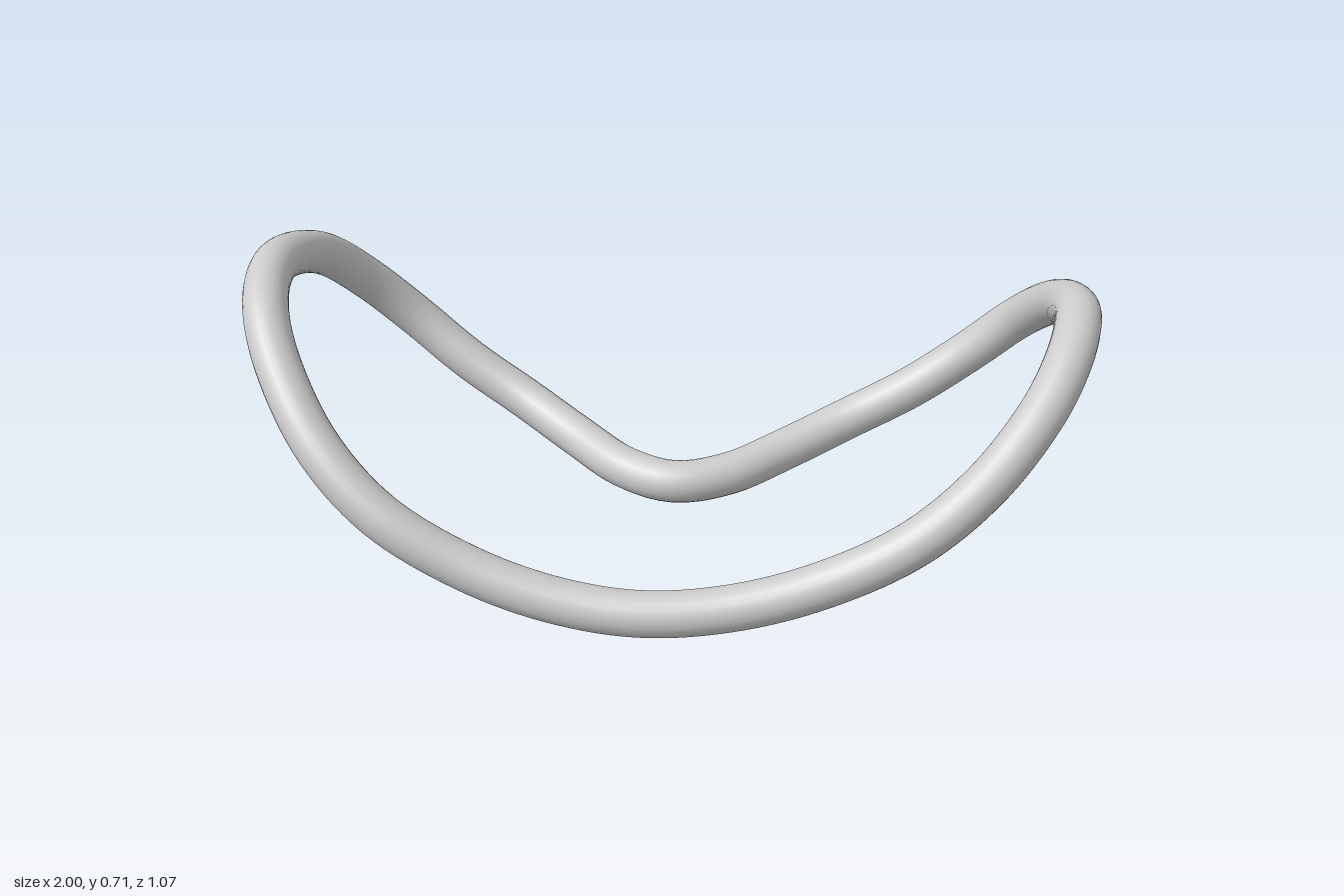
import * as THREE from 'three';

const RADIUS = 0.0535;
const BEND = 1.077; // radius of the sideways bend of the whole loop

// Outline seen from above as [x, z], each from the back dip round to the front
const leftHalf = [
  [0, -0.175], [0.13, -0.22], [0.27, -0.33], [0.42, -0.425], [0.58, -0.465], [0.72, -0.477],
  [0.83, -0.44], [0.9, -0.33], [0.938, -0.18], [0.946, -0.06], [0.922, 0.08], [0.865, 0.2],
  [0.75, 0.315], [0.6, 0.39], [0.4, 0.425], [0.2, 0.455], [0, 0.475],
];
const rightHalf = [
  [-0.2, 0.47], [-0.4, 0.455], [-0.6, 0.43], [-0.75, 0.355], [-0.87, 0.22], [-0.925, 0.1],
  [-0.946, -0.03], [-0.942, -0.15], [-0.905, -0.33], [-0.83, -0.44], [-0.72, -0.488],
  [-0.58, -0.47], [-0.42, -0.425], [-0.27, -0.33], [-0.13, -0.22],
];

// Lift the flat outline onto a cylinder-like bend, slightly higher on the right
function lift([x, z]) {
  const base = 0.055 + 0.054 * (z + 0.175);
  const rise = BEND - Math.sqrt(BEND * BEND - x * x);
  return new THREE.Vector3(x, base + rise * (x < 0 ? 1.05 : 1), z);
}

export function createModel() {
  const group = new THREE.Group();
  group.name = 'bentLoop';

  // One closed round tube
  const path = new THREE.CatmullRomCurve3([...leftHalf, ...rightHalf].map(lift), true, 'centripetal');
  const rim = new THREE.Mesh(
    new THREE.TubeGeometry(path, 200, RADIUS, 24, true),
    new THREE.MeshStandardMaterial({ color: 0xcccccc }),
  );
  rim.name = 'tubeRim';
  group.add(rim);
  return group;
}
